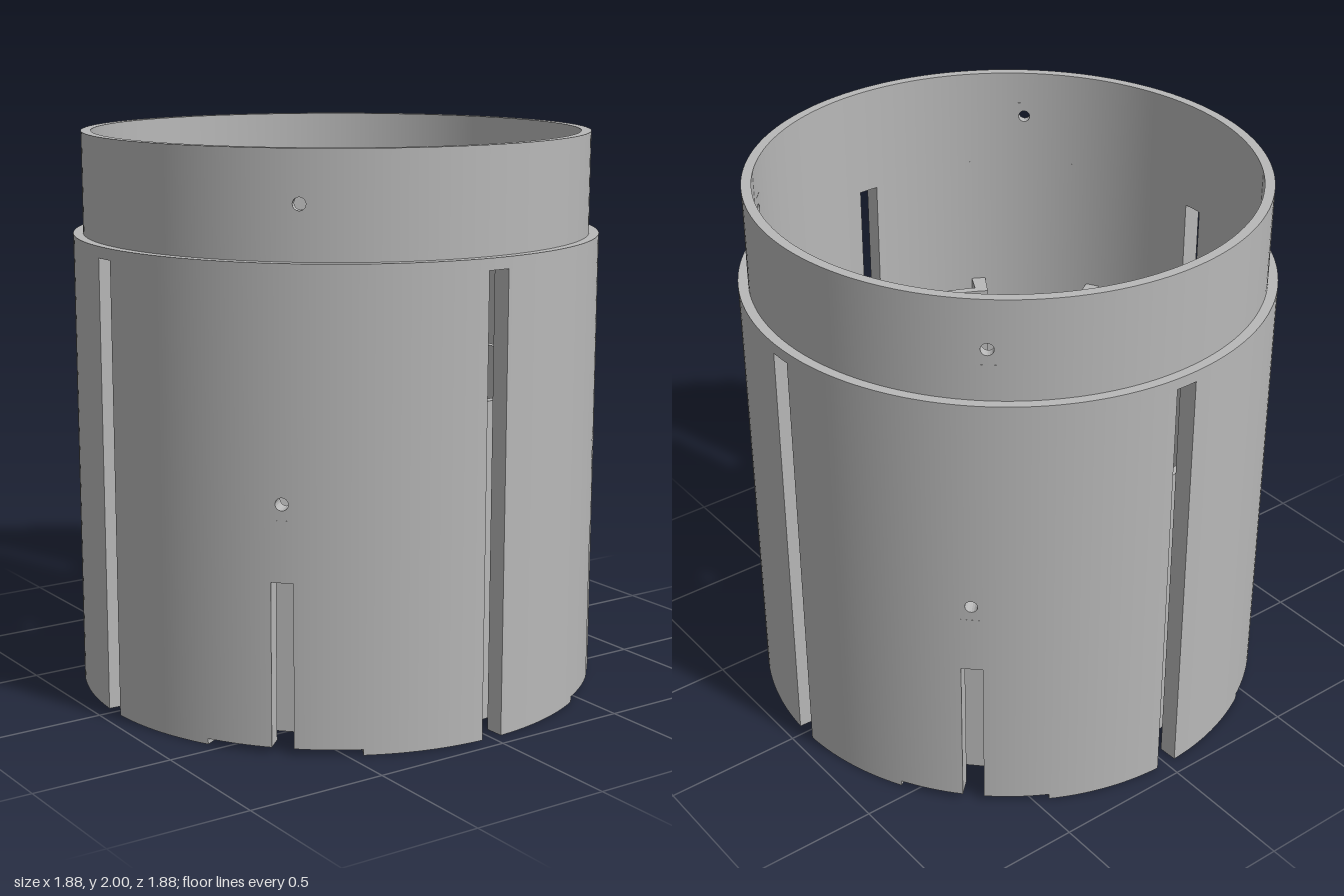
import * as THREE from 'three';
import { mergeGeometries, toCreasedNormals } from 'three/addons/utils/BufferGeometryUtils.js';

const grey = new THREE.MeshStandardMaterial({ color: 0xb8b8b8 });
grey.name = 'plain grey';
const rad = THREE.MathUtils.degToRad;

// Wraps a geometry laid out as (angle, height, radius) around the y axis.
function bend(geometry) {
  const g = geometry.index ? geometry.toNonIndexed() : geometry;
  const p = g.attributes.position, n = g.attributes.normal;
  for (let i = 0; i < p.count; i++) {
    const a = p.getX(i), r = p.getZ(i), s = Math.sin(a), c = Math.cos(a);
    const nx = n.getX(i), nz = n.getZ(i);
    p.setXYZ(i, r * s, p.getY(i), r * c);
    n.setXYZ(i, nx * c + nz * s, n.getY(i), nz * c - nx * s);
  }
  g.clearGroups();
  return g;
}

// Curved block between two angles (degrees), heights and radii.
function block(a0, a1, y0, y1, r0, r1) {
  const g = new THREE.BoxGeometry(rad(a1 - a0), y1 - y0, r1 - r0, Math.ceil((a1 - a0) / 2), 1, 1);
  g.translate(rad((a0 + a1) / 2), (y0 + y1) / 2, (r0 + r1) / 2);
  return bend(g);
}

// Curved block with a round radial hole in its middle.
function drilledBlock(a0, a1, y0, y1, r0, r1, hole) {
  const A = rad(a0), B = rad(a1);
  const s = new THREE.Shape([[A, y0], [B, y0], [B, y1], [A, y1]].map(q => new THREE.Vector2(...q)));
  const h = new THREE.Path();
  h.absellipse((A + B) / 2, (y0 + y1) / 2, hole / r1, hole, 0, Math.PI * 2, true);
  s.holes.push(h);
  const g = new THREE.ExtrudeGeometry(s, { depth: r1 - r0, bevelEnabled: false, curveSegments: 8 });
  g.translate(0, 0, r0);
  return bend(g);
}

const polar = (r, deg) => new THREE.Vector2(r * Math.cos(rad(deg)), r * Math.sin(rad(deg)));

function arc(r, a0, a1, steps) {
  return Array.from({ length: steps + 1 }, (_, i) => polar(r, a0 + (a1 - a0) * i / steps));
}

function roundHole(v, r) {
  const h = new THREE.Path();
  h.absarc(v.x, v.y, r, 0, Math.PI * 2, true);
  return h;
}

// Horizontal slab from an outline, standing on y0.
function slab(points, holes, y0, height) {
  const s = new THREE.Shape(points);
  s.holes.push(...holes);
  const g = new THREE.ExtrudeGeometry(s, { depth: height, bevelEnabled: false, curveSegments: 12 });
  g.rotateX(-Math.PI / 2);
  g.translate(0, y0, 0);
  g.clearGroups();
  return toCreasedNormals(g, 0.4);
}

export function createModel() {
  const model = new THREE.Group();
  model.name = 'slottedHousing';
  const add = (name, parts) => {
    const mesh = new THREE.Mesh(Array.isArray(parts) ? mergeGeometries(parts) : parts, grey);
    mesh.name = name;
    model.add(mesh);
  };
  const IN = 0.87, OUT = 0.94, RIM = 0.905;
  const sleeve = [], rim = [], arcWalls = [], ribs = [], pocketWalls = [];
  const plateLine = [], lowerLine = [], boltHoles = [], cornerHoles = [];

  for (let q = 0; q < 4; q++) {
    const t = q * 90;

    // Sleeve: long slot on each axis, short slot and shallow foot recess on each diagonal
    sleeve.push(
      block(t - 2.44, t + 2.44, 1.6, 1.64, IN, OUT),
      block(t + 2.44, t + 28.6, 0, 1.64, IN, OUT),
      block(t + 28.6, t + 42.7, 0.02, 1.64, IN, OUT),
      block(t + 42.7, t + 47.3, 0.59, 0.8, IN, OUT),
      drilledBlock(t + 42.7, t + 47.3, 0.8, 0.91, IN, OUT, 0.022),
      block(t + 42.7, t + 47.3, 0.91, 1.64, IN, OUT),
      block(t + 47.3, t + 61.4, 0.02, 1.64, IN, OUT),
      block(t + 61.4, t + 87.56, 0, 1.64, IN, OUT));

    // Narrower rim with one small hole per quarter
    rim.push(
      block(t, t + 46, 1.64, 2, IN, RIM),
      block(t + 46, t + 50.8, 1.64, 1.77, IN, RIM),
      drilledBlock(t + 46, t + 50.8, 1.77, 1.88, IN, RIM, 0.022),
      block(t + 46, t + 50.8, 1.88, 2, IN, RIM),
      block(t + 50.8, t + 90, 1.64, 2, IN, RIM));

    // Tall inner walls behind the long slots, tied to the sleeve by ribs
    arcWalls.push(block(t - 28, t + 28, 0.02, 1.13, 0.76, 0.79));
    ribs.push(block(t + 28, t + 31.5, 0.02, 1.13, 0.76, 0.872),
      block(t - 31.5, t - 28, 0.02, 1.13, 0.76, 0.872));

    // Floor outlines
    plateLine.push(...arc(0.79, t - 28, t + 28, 28), ...arc(0.872, t + 28, t + 37.5, 5),
      polar(0.79, t + 39.4), polar(0.79, t + 50.6), ...arc(0.872, t + 52.5, t + 62, 5));
    lowerLine.push(...arc(0.79, t - 28, t + 28, 28), polar(0.65, t + 39), polar(0.65, t + 51));

    // Bent wall around each corner pocket
    pocketWalls.push(slab([polar(0.872, t + 37.5), polar(0.79, t + 39.4), polar(0.79, t + 50.6),
      polar(0.872, t + 52.5), polar(0.872, t + 54), polar(0.768, t + 51.6),
      polar(0.768, t + 38.4), polar(0.872, t + 36)], [], 0.02, 0.6));

    // Bolt holes
    for (const d of [-15.5, 0, 15.5]) boltHoles.push(roundHole(polar(0.685, t + d), 0.025));
    cornerHoles.push(roundHole(polar(0.735, t + 45), 0.018),
      roundHole(polar(0.832, t + 35.6), 0.021), roundHole(polar(0.832, t + 54.4), 0.021));
  }

  add('sleeve', sleeve);
  add('upperRim', rim);
  add('innerArcWalls', arcWalls);
  add('wallRibs', ribs);
  add('cornerPocketWalls', pocketWalls);

  const centre = roundHole(new THREE.Vector2(), 0.29);
  add('floorPlate', slab(plateLine, [centre, ...boltHoles, ...cornerHoles], 0.02, 0.08));
  add('floorUnderside', slab(lowerLine, [centre, ...boltHoles], 0, 0.02));

  // Stepped hub around the central opening
  const profile = [[0.295, 0], [0.295, 0.12], [0.28, 0.12], [0.26, 0.12], [0.23, 0.085], [0.23, 0.07],
    [0.25, 0.07], [0.25, 0.045], [0.28, 0.045], [0.28, 0], [0.295, 0]];
  const hub = new THREE.LatheGeometry(profile.map(p => new THREE.Vector2(...p)), 64);
  add('centralHub', toCreasedNormals(hub, 0.4));

  return model;
}
